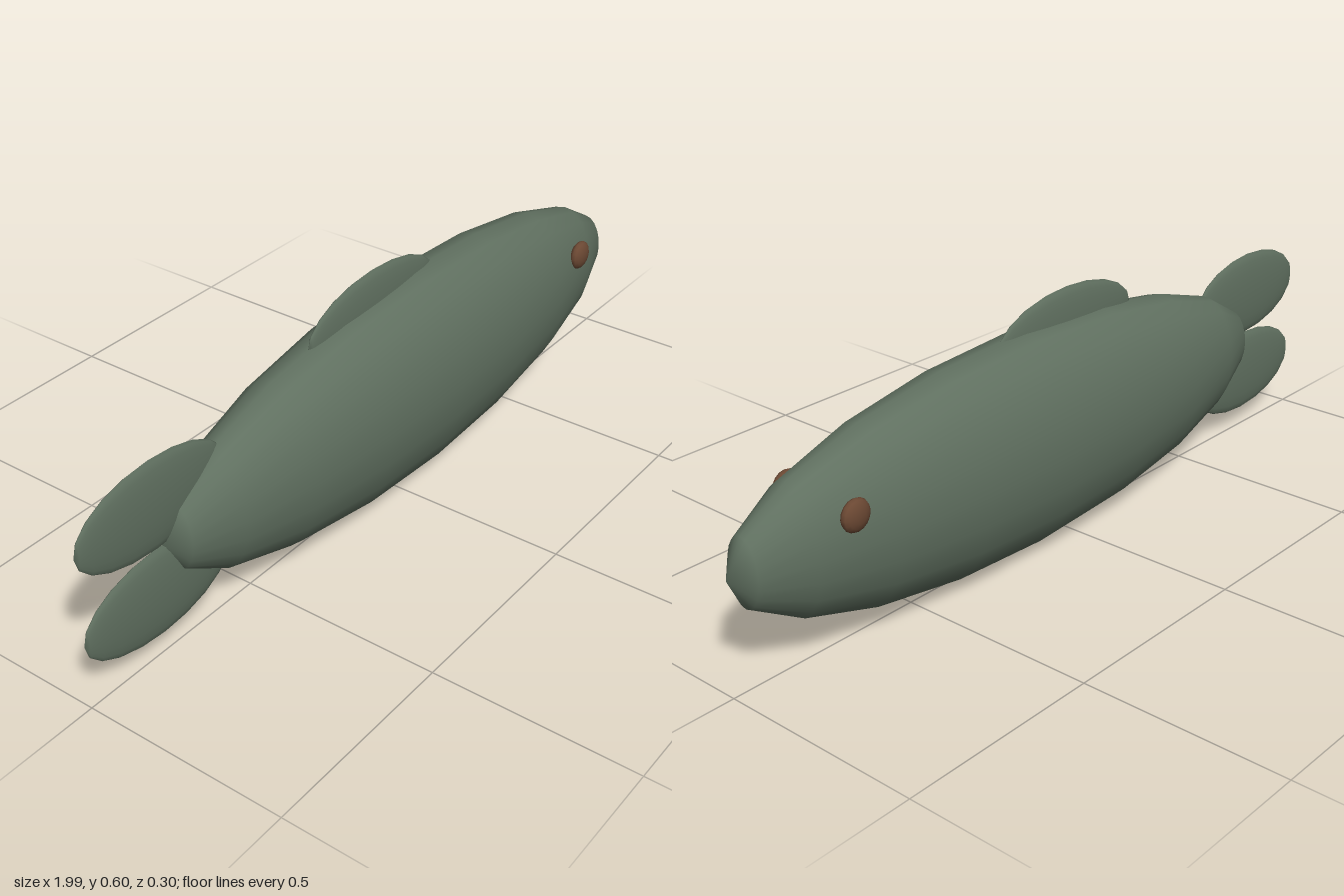
import * as THREE from 'three';

export function createModel() {
  const group = new THREE.Group();
  const skin = new THREE.MeshStandardMaterial({ color: 0x607060 });
  skin.name = 'greyGreenSkin';
  const iris = new THREE.MeshStandardMaterial({ color: 0x6b4833 });
  iris.name = 'brownEye';

  // Smooth low-poly ellipsoid whose poles lie along the given axis
  function ellipsoid(name, material, axis, segments, [rx, ry, rz], [x, y, z]) {
    const geometry = new THREE.SphereGeometry(1, segments, segments / 2);
    if (axis === 'x') geometry.rotateZ(-Math.PI / 2);
    if (axis === 'z') geometry.rotateX(Math.PI / 2);
    geometry.scale(rx, ry, rz);
    const mesh = new THREE.Mesh(geometry, material);
    mesh.name = name;
    mesh.position.set(x, y, z);
    group.add(mesh);
  }

  // Body, nose towards +x
  ellipsoid('body', skin, 'x', 20, [0.878, 0.267, 0.152], [0.115, 0.268, 0]);

  // Thin fins on the back and tail
  ellipsoid('dorsalFin', skin, 'x', 20, [0.238, 0.102, 0.018], [-0.035, 0.5, 0]);
  ellipsoid('upperTailFin', skin, 'x', 20, [0.22, 0.111, 0.018], [-0.78, 0.383, 0]);
  ellipsoid('lowerTailFin', skin, 'x', 20, [0.22, 0.111, 0.018], [-0.78, 0.162, 0]);

  // Eyes on both flanks
  for (const side of [1, -1]) {
    ellipsoid(side > 0 ? 'frontEye' : 'backEye', iris, 'z', 16,
      [0.038, 0.038, 0.018], [0.74, 0.348, side * 0.103]);
  }
  return group;
}
